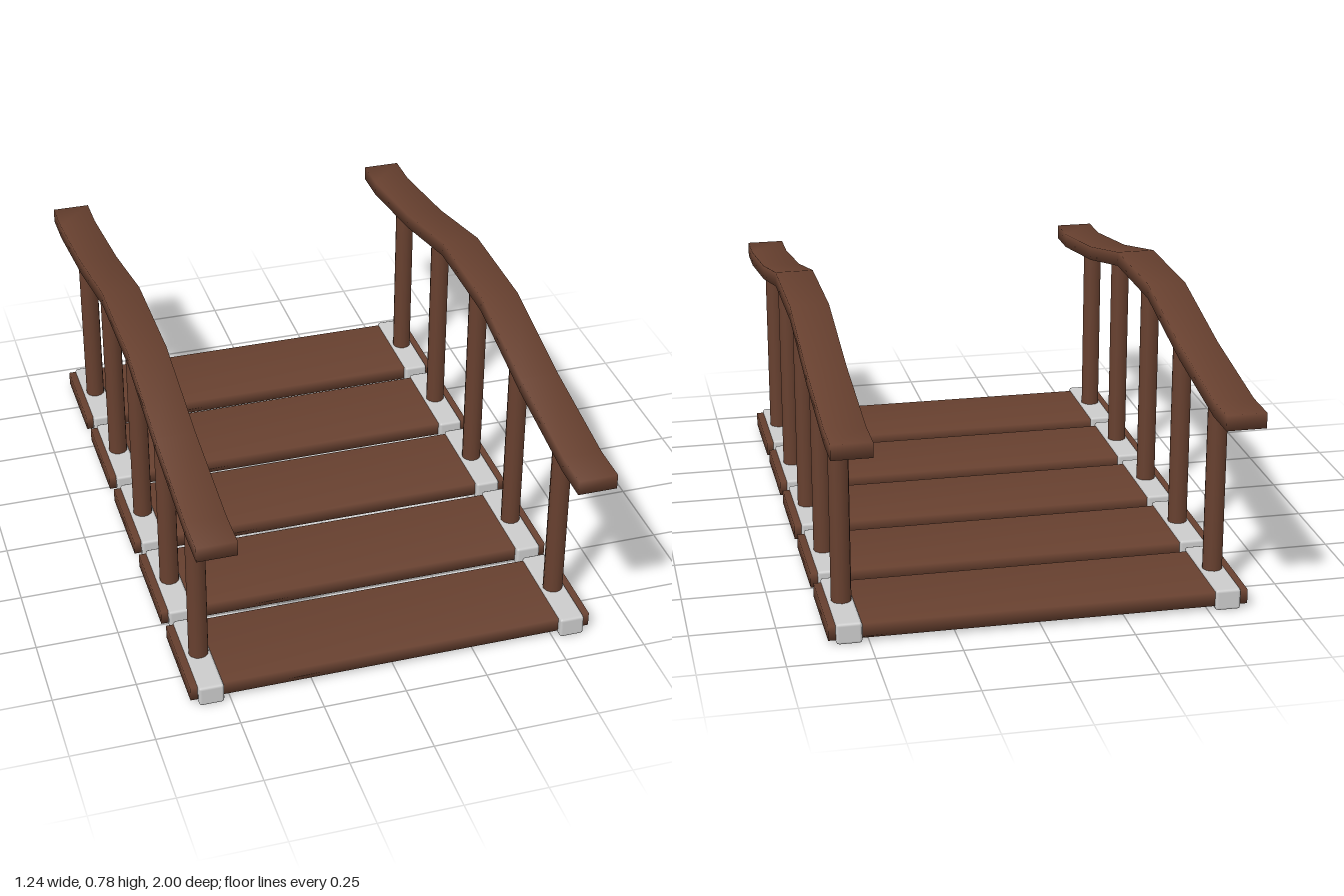
import * as THREE from 'three';
import { mergeVertices } from 'three/addons/utils/BufferGeometryUtils.js';
import { RoundedBoxGeometry } from 'three/addons/geometries/RoundedBoxGeometry.js';

const wood = new THREE.MeshStandardMaterial({ color: 0x67402f });
const metal = new THREE.MeshStandardMaterial({ color: 0xcccccc });

// Handrail height (centre line) at each bend, from one end to the other
const railZ = [-1, -0.88, -0.53, -0.18, 0.18, 0.53, 0.88, 1];
const railY = [0.624, 0.624, 0.678, 0.759, 0.759, 0.678, 0.624, 0.624];

function railHeight(z) {
  let i = 0;
  while (i < railZ.length - 2 && z > railZ[i + 1]) i++;
  const t = (z - railZ[i]) / (railZ[i + 1] - railZ[i]);
  return THREE.MathUtils.lerp(railY[i], railY[i + 1], t);
}

// Share the corners so the shading runs softly over the edges
function soften(geometry) {
  geometry.deleteAttribute('normal');
  geometry.deleteAttribute('uv');
  const merged = mergeVertices(geometry);
  merged.computeVertexNormals();
  return merged;
}

function railGeometry() {
  const n = railZ.length - 1;
  const geometry = new THREE.BoxGeometry(0.118, 0.046, n, 1, 1, n);
  const p = geometry.attributes.position;
  for (let i = 0; i < p.count; i++) {
    const k = Math.round(p.getZ(i) + n / 2);
    p.setY(i, p.getY(i) + railY[k]);
    p.setZ(i, railZ[k]);
  }
  return soften(geometry);
}

export function createModel() {
  const bridge = new THREE.Group();
  bridge.name = 'footbridge';

  const add = (name, geometry, material, x, y, z) => {
    const mesh = new THREE.Mesh(geometry, material);
    mesh.name = name;
    mesh.position.set(x, y, z);
    bridge.add(mesh);
  };

  const plank = soften(new THREE.BoxGeometry(1.236, 0.044, 0.3));
  const bracket = new RoundedBoxGeometry(0.076, 0.065, 0.33, 1, 0.009);
  const rail = railGeometry();

  // Deck planks, each with a bracket and a post at both ends
  for (let i = -2; i <= 2; i++) {
    const z = i * 0.367;
    add('plank', plank, wood, 0, 0.035, z - 0.005);
    const top = railHeight(z);
    const post = new THREE.CylinderGeometry(0.03, 0.03, top - 0.05, 12);
    for (const side of [-1, 1]) {
      const label = side > 0 ? 'left' : 'right';
      add(label + 'Bracket', bracket, metal, side * 0.558, 0.0325, z);
      add(label + 'Post', post, wood, side * 0.557, (top + 0.05) / 2, z);
    }
  }

  // Bent handrails
  add('leftHandrail', rail, wood, 0.556, 0, 0);
  add('rightHandrail', rail, wood, -0.556, 0, 0);

  return bridge;
}
